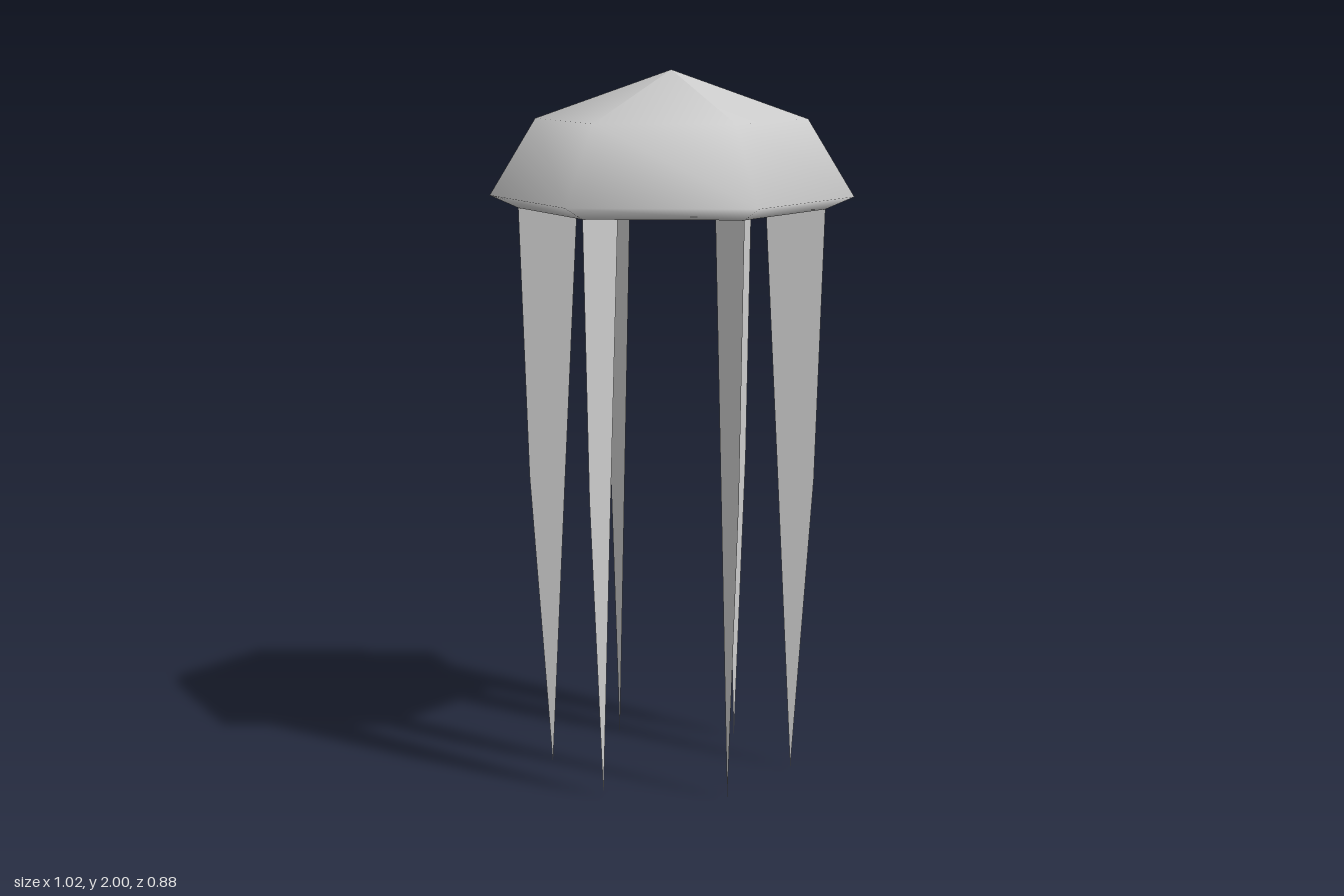
import * as THREE from 'three';

const material = new THREE.MeshStandardMaterial({ color: 0xcccccc, side: THREE.DoubleSide });
const points = (list) => list.map(([x, y]) => new THREE.Vector2(x, y));

export function createModel() {
  const model = new THREE.Group();
  model.name = 'jellyfish';

  // Six-sided bell: hollow underside, rim, then the dome up to its peak
  const profile = points([
    [0, 1.76], [0.26, 1.7], [0.43, 1.615], [0.51, 1.65], [0.38, 1.865], [0, 2],
  ]);
  const bell = new THREE.Mesh(new THREE.LatheGeometry(profile, 6, Math.PI / 2), material);
  bell.name = 'bell';
  model.add(bell);

  // Flat tapering tentacles, one in the radial plane of each corner
  const blade = new THREE.ShapeGeometry(new THREE.Shape(points([
    [0.345, 0], [0.405, 0.85], [0.43, 1.615], [0.26, 1.7], [0.303, 0.85],
  ])));
  for (let i = 0; i < 6; i++) {
    const tentacle = new THREE.Mesh(blade, material);
    tentacle.name = `tentacle${i + 1}`;
    tentacle.rotation.y = (i * Math.PI) / 3;
    model.add(tentacle);
  }
  return model;
}
